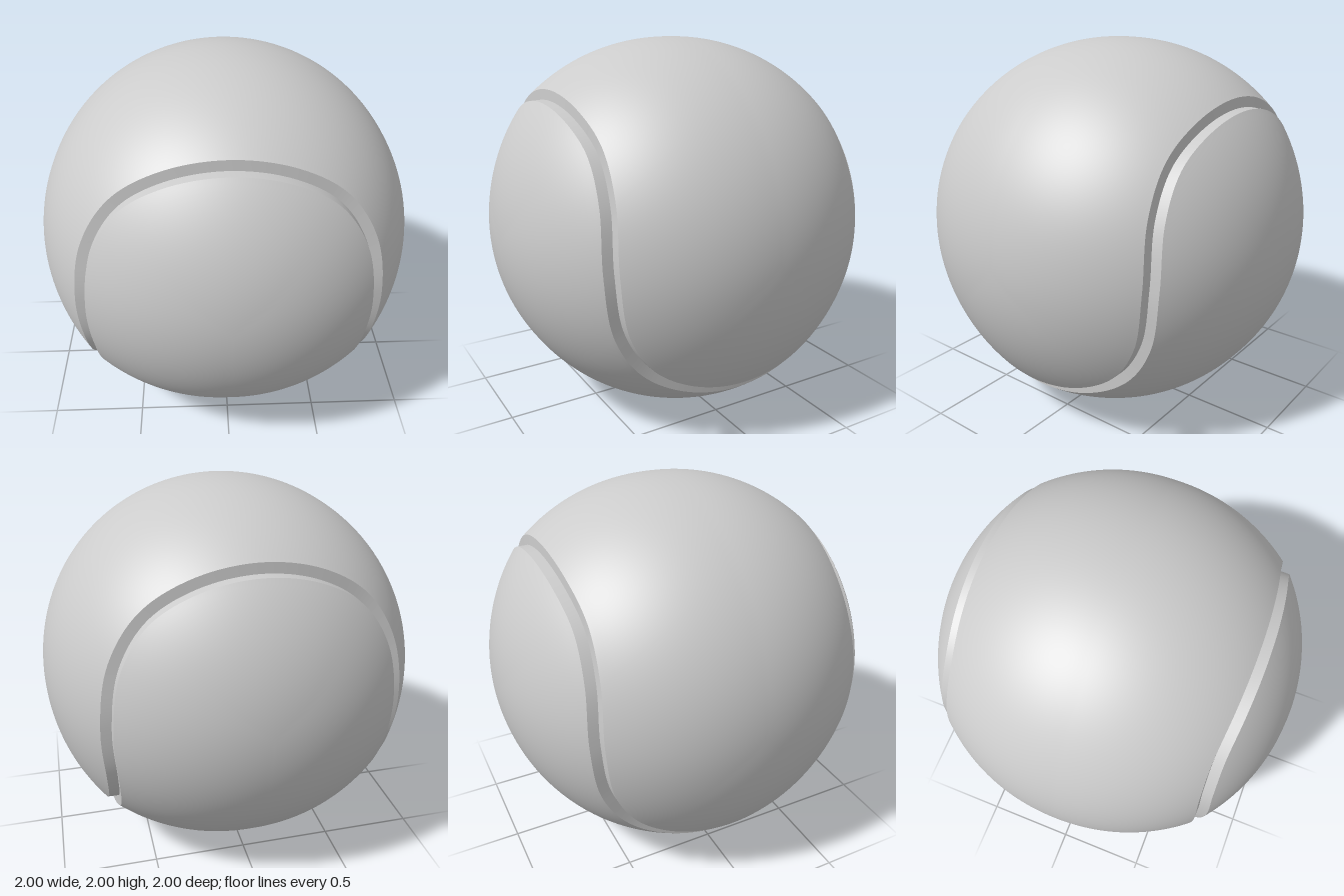
import * as THREE from 'three';
import { mergeVertices } from 'three/addons/utils/BufferGeometryUtils.js';

const SEGMENTS = 320; // steps along the seam
const ROWS = 28;      // steps from the seam to the middle of a panel
const LIP = 0.038;    // half width of the groove, in radians
const FLOOR = 0.994;  // radius at the bottom of the groove

// Closed seam curve: one eighth is given, the rest follows by symmetry
function createSeam() {
  const v = (x, y, z) => new THREE.Vector3(x, y, z);
  const eighth = [
    v(0, 0.707, 0.707), v(0.297, 0.65, 0.696), v(0.515, 0.515, 0.68),
    v(0.653, 0.305, 0.692), v(0.707, 0, 0.707),
  ];
  const quarter = [...eighth, ...eighth.slice(0, 4).reverse().map((p) => v(p.z, -p.y, p.x))];
  const half = [...quarter, ...quarter.slice(0, -1).reverse().map((p) => v(p.x, p.y, -p.z))];
  const loop = [...half.slice(0, -1), ...half.slice(0, -1).map((p) => v(-p.x, p.y, -p.z))];
  return new THREE.CatmullRomCurve3(loop, true, 'centripetal');
}

// Skin a grid of points: rows[i][j], i along the seam, j towards the panel middle
function skin(rows) {
  const positions = [];
  const index = [];
  const n = rows[0].length;
  rows.forEach((row) => row.forEach((p) => positions.push(p.x, p.y, p.z)));
  for (let i = 0; i < rows.length; i++) {
    const next = (i + 1) % rows.length;
    for (let j = 0; j < n - 1; j++) {
      const a = i * n + j;
      const b = next * n + j;
      index.push(a, b, a + 1, b, b + 1, a + 1);
    }
  }
  const geometry = new THREE.BufferGeometry();
  geometry.setAttribute('position', new THREE.Float32BufferAttribute(positions, 3));
  geometry.setIndex(index);
  const merged = mergeVertices(geometry, 1e-5);
  merged.computeVertexNormals();
  return merged;
}

export function createModel() {
  const model = new THREE.Group();
  model.name = 'ball';
  const material = new THREE.MeshStandardMaterial({ color: 0xcccccc });

  const curve = createSeam();
  const seam = [];
  const lips = [];
  for (let i = 0; i < SEGMENTS; i++) {
    const p = curve.getPoint(i / SEGMENTS).normalize();
    const away = curve.getTangent(i / SEGMENTS).cross(p).normalize();
    seam.push(p);
    lips.push(p.clone().multiplyScalar(Math.cos(LIP)).addScaledVector(away, -Math.sin(LIP)).normalize());
  }

  // The skin swells slightly towards the seam
  const swell = (dir) => {
    let nearest = -1;
    for (const p of seam) nearest = Math.max(nearest, p.dot(dir));
    const distance = Math.acos(Math.min(1, nearest));
    const t = Math.max(0, 1 - distance / 0.78);
    return dir.clone().multiplyScalar(1 + 0.033 * Math.pow(t, 1.5));
  };

  // Panel: great-circle rows from the lip to an arc running over the top
  const panelRows = lips.map((lip) => {
    const angle = Math.atan2(lip.x, lip.y) * 2 / 3;
    const target = new THREE.Vector3(Math.sin(angle), Math.cos(angle), 0);
    const span = lip.angleTo(target);
    const row = [];
    for (let j = 0; j <= ROWS; j++) {
      const t = j / ROWS;
      const dir = lip.clone().multiplyScalar(Math.sin((1 - t) * span))
        .addScaledVector(target, Math.sin(t * span)).normalize();
      row.push(swell(dir));
    }
    return row;
  });
  const panelGeometry = skin(panelRows);

  // Groove wall: from the groove bottom up to the lip
  const wallGeometry = skin(seam.map((p, i) => [p.clone().multiplyScalar(FLOOR), panelRows[i][0]]));

  // Two identical interlocking halves, the second turned about a diagonal
  const diagonal = new THREE.Vector3(1, 0, 1).normalize();
  ['upper', 'lower'].forEach((name, k) => {
    const half = new THREE.Group();
    half.name = name + 'Half';
    const panel = new THREE.Mesh(panelGeometry, material);
    panel.name = name + 'Panel';
    const wall = new THREE.Mesh(wallGeometry, material);
    wall.name = name + 'GrooveWall';
    half.add(panel, wall);
    half.quaternion.setFromAxisAngle(diagonal, k * Math.PI);
    half.position.y = 1;
    model.add(half);
  });

  return model;
}
